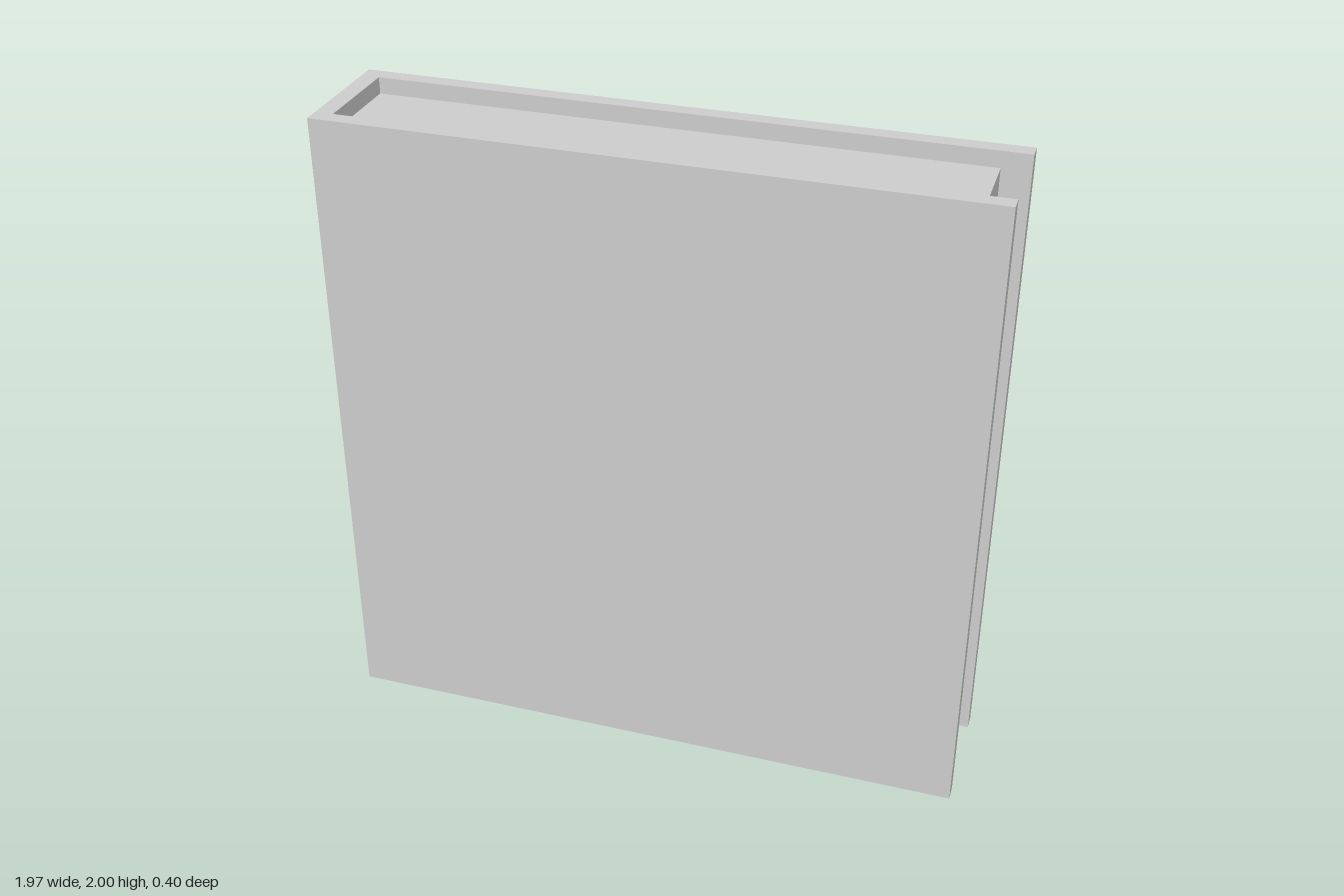
import * as THREE from 'three';

const H = 2, X = 0.985, Z = 0.2, T = 0.05, SPINE = 0.055;

// U-shaped cover in plan: spine at -x, open towards +x
function coverGeometry() {
  const inner = -X + SPINE, zi = Z - T;
  const plan = new THREE.Shape([
    [-X, -Z], [X, -Z], [X, -zi], [inner, -zi],
    [inner, zi], [X, zi], [X, Z], [-X, Z],
  ].map(([x, y]) => new THREE.Vector2(x, y)));
  const geo = new THREE.ExtrudeGeometry(plan, { depth: H, bevelEnabled: false });
  geo.rotateX(-Math.PI / 2);

  // Leave the underside of the shell open: drop the triangles lying on y = 0
  const pos = geo.attributes.position;
  const kept = [];
  for (let i = 0; i < pos.count; i += 3) {
    const top = Math.max(pos.getY(i), pos.getY(i + 1), pos.getY(i + 2));
    if (top > 0.001) kept.push(i, i + 1, i + 2);
  }
  geo.clearGroups();
  geo.setIndex(kept);
  return geo.toNonIndexed();
}

export function createModel() {
  const book = new THREE.Group();
  book.name = 'book';
  const material = new THREE.MeshStandardMaterial({ color: 0xcccccc, side: THREE.DoubleSide });

  const cover = new THREE.Mesh(coverGeometry(), material);
  cover.name = 'cover';
  book.add(cover);

  // Page block, set in from the cover at the top, bottom and fore edge
  const x0 = -X + SPINE, x1 = 0.9, y0 = 0.06, y1 = 1.95;
  const pages = new THREE.Mesh(
    new THREE.BoxGeometry(x1 - x0, y1 - y0, 2 * (Z - T)), material);
  pages.position.set((x0 + x1) / 2, (y0 + y1) / 2, 0);
  pages.name = 'pages';
  book.add(pages);

  return book;
}
